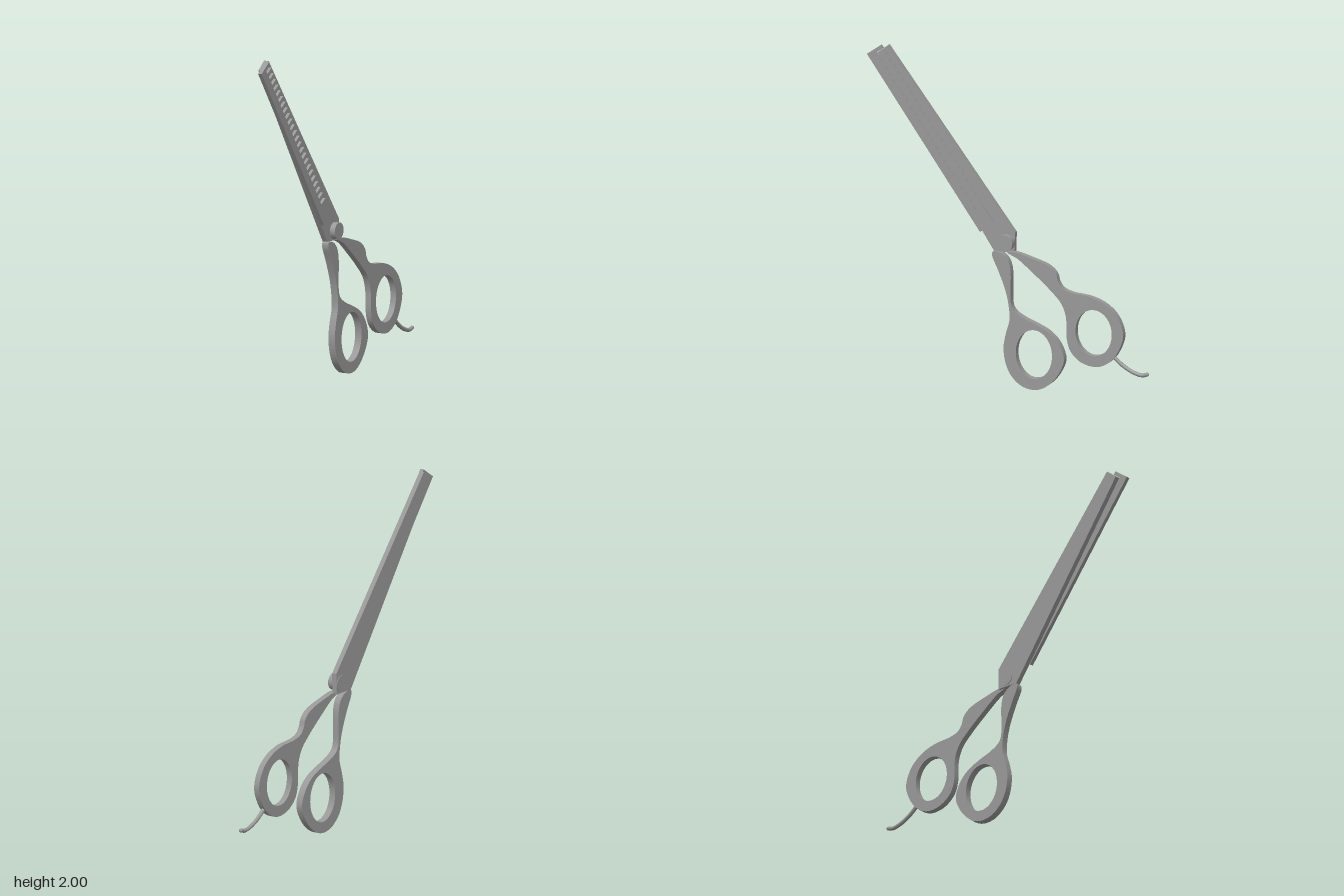
import * as THREE from 'three';
import { toCreasedNormals } from 'three/addons/utils/BufferGeometryUtils.js';

const steel = new THREE.MeshStandardMaterial({ color: 0x979897 });
steel.name = 'steelGrey';

const vectors = (points) => points.map(([u, y]) => new THREE.Vector2(u, y));

// Extrudes a side profile (u = -z, y) across x from x0 to x1
function plate(name, shape, x0, x1) {
  const flat = new THREE.ExtrudeGeometry(shape, {
    depth: x1 - x0, bevelEnabled: false, curveSegments: 32,
  });
  flat.translate(0, 0, x0);
  flat.rotateY(Math.PI / 2);
  const mesh = new THREE.Mesh(toCreasedNormals(flat, Math.PI / 6), steel);
  mesh.name = name;
  return mesh;
}

// Smooth closed handle outline (clockwise) with an oval finger hole (anticlockwise)
function handle(name, outline, [cu, cy, ru, ry], x0, x1) {
  const curve = new THREE.CatmullRomCurve3(
    outline.map(([u, y]) => new THREE.Vector3(u, y, 0)), true, 'centripetal');
  const points = curve.getPoints(outline.length * 5).slice(0, -1);
  const shape = new THREE.Shape(points.map((p) => new THREE.Vector2(p.x, p.y)));
  const hole = new THREE.Path();
  hole.absellipse(cu, cy, ru, ry, 0, Math.PI * 2, false);
  shape.holes.push(hole);
  return plate(name, shape, x0, x1);
}

// Thinning blade: solid root block, then a comb of square teeth
function toothedBlade() {
  const at = (s, t) => [-0.17 - 0.575 * s + 0.818 * t, 0.93 + 0.818 * s + 0.575 * t];
  const length = 1.238, width = 0.104, root = 0.05, block = 0.125, count = 24;
  const pitch = (length - block) / count;
  const points = [at(length, 0), at(0, 0), at(0, width), at(block, width)];
  for (let i = 0; i < count; i++) {
    const s = block + i * pitch;
    points.push(at(s, root), at(s + pitch / 2, root));
    points.push(at(s + pitch / 2, width), at(s + pitch, width));
  }
  return plate('toothedBlade', new THREE.Shape(vectors(points)), 0, 0.025);
}

export function createModel() {
  const group = new THREE.Group();
  group.name = 'thinningScissors';

  // Blades
  group.add(toothedBlade());
  group.add(plate('straightBlade', new THREE.Shape(vectors([
    [-0.825, 1.95], [-0.093, 0.82], [0.037, 0.815], [0.04, 0.94], [-0.76, 2.0],
  ])), -0.032, 0));

  // Handles
  group.add(handle('lowerHandle', [
    [-0.093, 0.817], [-0.045, 0.811], [-0.003, 0.774], [0.016, 0.716], [0.018, 0.6],
    [0.021, 0.504], [0.04, 0.467], [0.098, 0.43], [0.178, 0.398], [0.262, 0.355],
    [0.321, 0.292], [0.353, 0.2], [0.326, 0.122], [0.273, 0.053], [0.214, 0.012],
    [0.157, 0], [0.087, 0.016], [0.024, 0.069], [-0.013, 0.143], [-0.027, 0.239],
    [-0.013, 0.323], [0.01, 0.41], [0.004, 0.504], [-0.016, 0.589], [-0.061, 0.705],
    [-0.098, 0.79],
  ], [0.164, 0.215, 0.114, 0.148], -0.032, 0.012));
  group.add(handle('upperHandle', [
    [0, 0.82], [0.035, 0.827], [0.15, 0.8], [0.257, 0.763], [0.305, 0.72],
    [0.32, 0.673], [0.347, 0.636], [0.4, 0.615], [0.522, 0.6], [0.618, 0.562],
    [0.692, 0.493], [0.729, 0.387], [0.7, 0.29], [0.644, 0.217], [0.565, 0.18],
    [0.469, 0.196], [0.4, 0.255], [0.374, 0.334], [0.368, 0.467], [0.337, 0.546],
    [0.273, 0.615], [0.151, 0.72], [0.061, 0.79],
  ], [0.543, 0.384, 0.114, 0.14], -0.018, 0.02));

  // Curved finger rest behind the upper ring
  const restPath = new THREE.CatmullRomCurve3([
    [0.66, 0.25], [0.72, 0.2], [0.785, 0.165], [0.84, 0.152], [0.872, 0.16],
  ].map(([u, y]) => new THREE.Vector3(0, y, -u)));
  const rest = new THREE.Mesh(new THREE.TubeGeometry(restPath, 24, 0.012, 10), steel);
  rest.name = 'fingerRest';
  const restTip = new THREE.Mesh(new THREE.SphereGeometry(0.012, 10, 8), steel);
  restTip.name = 'fingerRestTip';
  restTip.position.copy(restPath.getPoint(1));
  group.add(rest, restTip);

  // Pivot screw
  const pivot = new THREE.Mesh(new THREE.CylinderGeometry(0.05, 0.05, 0.07, 32), steel);
  pivot.name = 'pivotScrew';
  pivot.rotation.z = Math.PI / 2;
  pivot.position.set(-0.001, 0.876, 0.013);
  group.add(pivot);

  return group;
}
